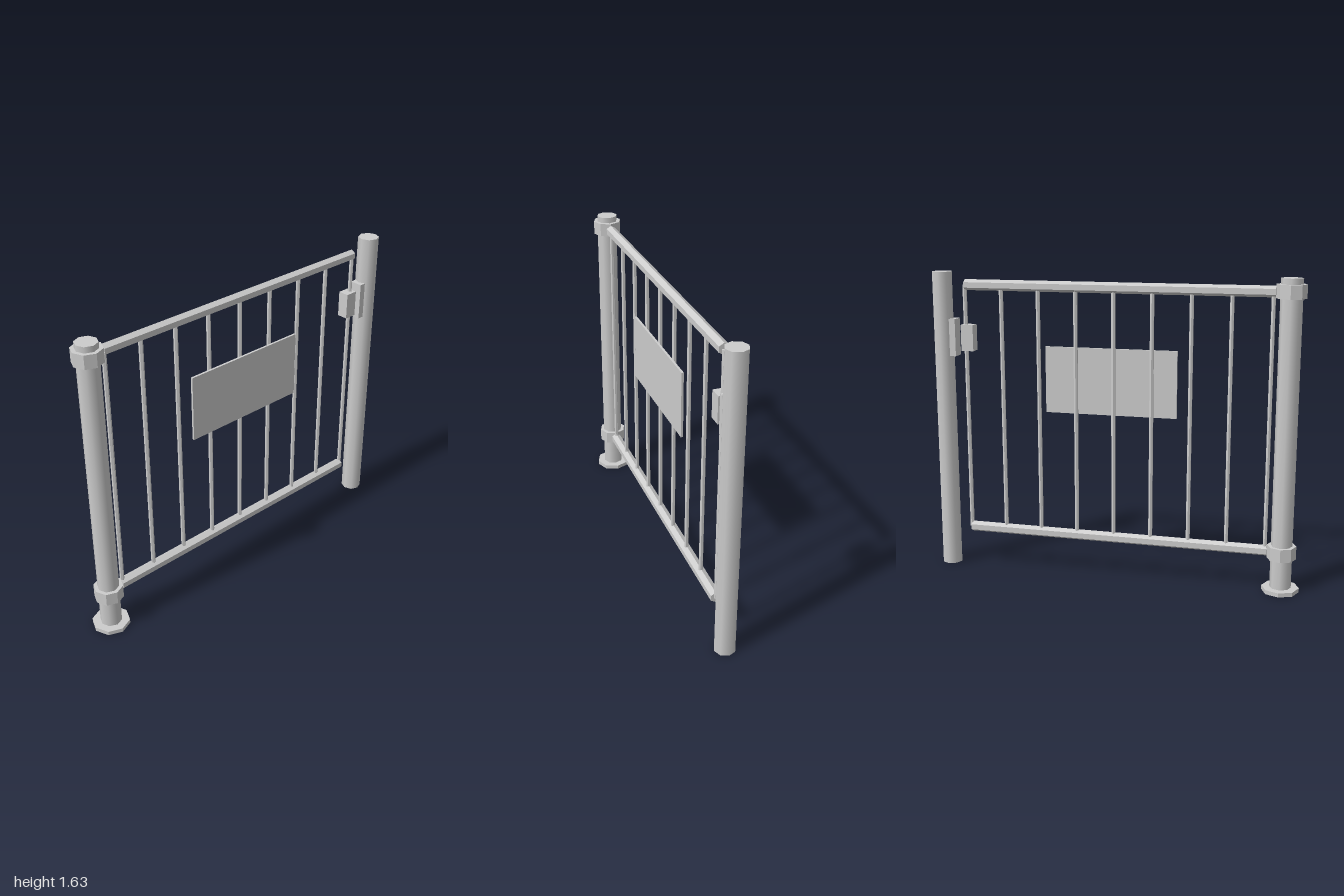
import * as THREE from 'three';

export function createModel() {
  const root = new THREE.Group();
  const metal = new THREE.MeshStandardMaterial({ color: 0xcccccc });
  metal.name = 'grey metal';
  const flatMetal = metal.clone();
  flatMetal.flatShading = true;
  flatMetal.name = 'grey metal faceted';

  const add = (name, geometry, x, y, z = 0, material = flatMetal) => {
    const mesh = new THREE.Mesh(geometry, material);
    mesh.name = name;
    mesh.position.set(x, y, z);
    root.add(mesh);
    return mesh;
  };
  // Upright prism or cylinder spanning y0 to y1
  const upright = (name, r, sides, x, y0, y1, material) =>
    add(name, new THREE.CylinderGeometry(r, r, y1 - y0, sides), x, (y0 + y1) / 2, 0, material);

  // Posts
  const hingeX = -0.903, latchX = 0.943;
  upright('hingePost', 0.056, 8, hingeX, 0, 1.63, metal);
  upright('latchPost', 0.056, 8, latchX, 0, 1.63, metal);
  upright('basePlate', 0.098, 8, hingeX, 0, 0.022);
  upright('lowerHingeCollar', 0.076, 8, hingeX, 0.18, 0.25);
  upright('upperHingeCollar', 0.076, 8, hingeX, 1.53, 1.6);

  // Hexagonal rails with an edge on top
  for (const [name, y] of [['lowerRail', 0.217], ['upperRail', 1.562]]) {
    const rail = new THREE.CylinderGeometry(0.029, 0.029, 1.64, 6);
    rail.rotateY(Math.PI / 2).rotateZ(Math.PI / 2);
    add(name, rail, -0.007, y);
  }

  // Pickets, ending on the rail centres
  for (let i = 0; i < 9; i++) {
    upright('picket', 0.0115, 6, (i - 4) * 0.204, 0.217, 1.562);
  }

  // Sign plate, lock and strike
  add('signPlate', new THREE.BoxGeometry(0.71, 0.355, 0.012), 0.02, 1.067, 0.02);
  add('lockBox', new THREE.BoxGeometry(0.068, 0.14, 0.06), 0.8, 1.28);
  add('strikePlate', new THREE.BoxGeometry(0.034, 0.2, 0.07), 0.882, 1.28);

  return root;
}
